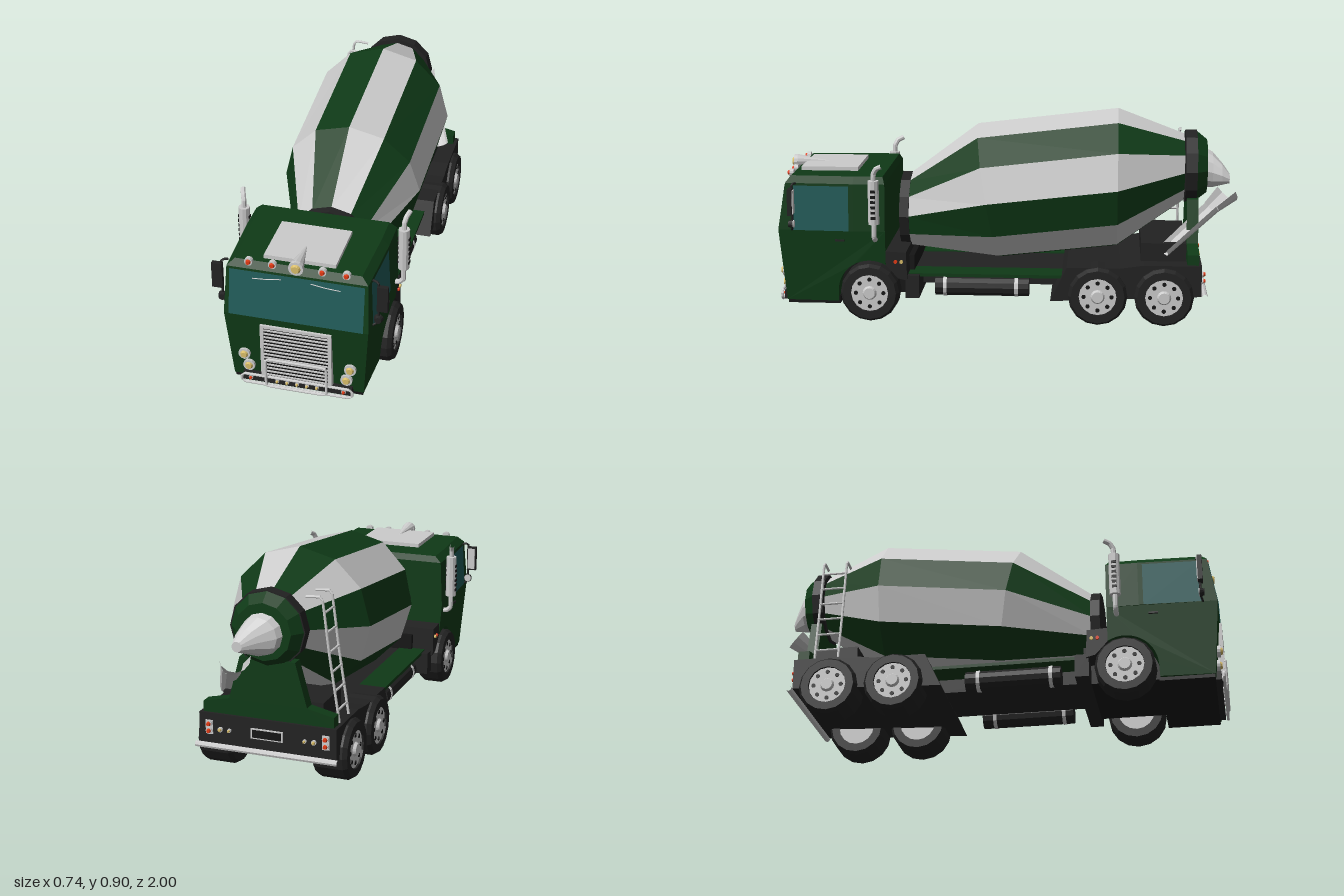
import * as THREE from 'three';

const mat = (color, side = THREE.FrontSide) => new THREE.MeshStandardMaterial({ color, side, flatShading: true });
const GREY = mat(0xcccccc), CHUTE = mat(0xcccccc, THREE.DoubleSide);
const GREEN = mat(0x0f3a17), BLACK = mat(0x222222, THREE.DoubleSide), DARK = mat(0x151515);
const GLASS = mat(0x205a58, THREE.DoubleSide), RED = mat(0xe03a14), AMBER = mat(0xd8bc68);
const V = (x, y, z) => new THREE.Vector3(x, y, z);

export function createModel() {
  const root = new THREE.Group();
  const add = (name, geo, material, x = 0, y = 0, z = 0, parent = root) => {
    const m = new THREE.Mesh(geo, material);
    m.name = name;
    m.position.set(x, y, z);
    parent.add(m);
    return m;
  };
  const box = (name, material, x0, x1, y0, y1, z0, z1) =>
    add(name, new THREE.BoxGeometry(x1 - x0, y1 - y0, z1 - z0), material, (x0 + x1) / 2, (y0 + y1) / 2, (z0 + z1) / 2);
  const cylZ = (r0, r1, len, seg = 12) => new THREE.CylinderGeometry(r1, r0, len, seg).rotateX(Math.PI / 2);
  const tube = (name, pts, r, material = GREY, closed = false) =>
    add(name, new THREE.TubeGeometry(new THREE.CatmullRomCurve3(pts, closed, 'catmullrom', 0.15), pts.length * 6, r, 8, closed), material);
  const both = (fn) => [1, -1].forEach(fn);

  // Joins rings of points (counterclockwise, advancing towards the viewer); pick selects strips
  const loft = (rings, pick = () => true, caps = true) => {
    const out = [], n = rings[0].length;
    const tri = (...p) => p.forEach((v) => out.push(v.x, v.y, v.z));
    for (let k = 0; k + 1 < rings.length; k++)
      for (let i = 0; i < n; i++) {
        if (!pick(i)) continue;
        const a = rings[k], b = rings[k + 1], j = (i + 1) % n;
        tri(a[i], a[j], b[j]);
        tri(a[i], b[j], b[i]);
      }
    const last = rings[rings.length - 1];
    for (let i = 1; caps && i + 1 < n; i++) {
      tri(rings[0][0], rings[0][i + 1], rings[0][i]);
      tri(last[0], last[i], last[i + 1]);
    }
    const g = new THREE.BufferGeometry();
    g.setAttribute('position', new THREE.Float32BufferAttribute(out, 3));
    g.computeVertexNormals();
    return g;
  };
  const ring = (x, y, z, r, tilt = 0, n = 12) => Array.from({ length: n }, (_, i) => {
    const a = (i / n) * Math.PI * 2, s = r * Math.sin(a);
    return V(x + r * Math.cos(a), y + s, z + tilt * s);
  });
  // Side outline in (z, y), extruded across the truck
  const sideExtrude = (shape, width) =>
    new THREE.ExtrudeGeometry(shape, { depth: width, bevelEnabled: false, curveSegments: 8 })
      .translate(0, 0, -width / 2).rotateY(-Math.PI / 2);
  const outline = (pts) => new THREE.Shape(pts.map(([a, b]) => new THREE.Vector2(a, b)));

  // Cab half width and front face
  const { clamp, mapLinear } = THREE.MathUtils;
  const sideX = (y, z) => (y < 0.4 ? mapLinear(y, 0.08, 0.4, 0.287, 0.312) : mapLinear(y, 0.4, 0.61, 0.312, 0.302))
    - 0.014 * clamp((z - 0.65) / 0.32, 0, 1);
  const frontZ = (y) => (y < 0.4 ? mapLinear(y, 0.08, 0.4, 0.953, 0.98) : mapLinear(y, 0.4, 0.61, 0.98, 0.945));

  // Lower cab with wheel arch
  const lower = outline([[0.513, 0.4], [0.513, 0.25]]);
  lower.absarc(0.583, 0.128, 0.14, 2.1, -0.1, true);
  [[0.725, 0.08], [0.953, 0.08], [0.98, 0.4]].forEach(([a, b]) => lower.lineTo(a, b));
  const lowerGeo = sideExtrude(lower, 0.6), p = lowerGeo.attributes.position;
  for (let i = 0; i < p.count; i++) p.setX(i, Math.sign(p.getX(i)) * sideX(p.getY(i), p.getZ(i)));
  lowerGeo.computeVertexNormals();
  add('lowerCab', lowerGeo, GREEN);

  // Upper cab with bevelled roof edge
  const cabRing = (y, inset, zb, zf) => {
    const s = (z) => sideX(Math.min(y, 0.61), z) - inset;
    return [V(s(zf), y, zf), V(s(0.65), y, 0.65), V(s(zb), y, zb), V(-s(zb), y, zb), V(-s(0.65), y, 0.65), V(-s(zf), y, zf)];
  };
  add('upperCab', loft([cabRing(0.4, 0, 0.513, 0.98), cabRing(0.605, 0, 0.513, 0.946), cabRing(0.633, 0.03, 0.525, 0.925)]), GREEN);
  box('cabUnderside', DARK, -0.27, 0.27, 0.065, 0.1, 0.72, 0.95);
  box('frontWheelWell', DARK, -0.2, 0.2, 0.1, 0.27, 0.4, 0.74);

  // Glass
  const pane = (name, pts) => add(name, loft([[pts[0], pts[1]], [pts[3], pts[2]]], (i) => i === 0, false), GLASS);
  pane('windshield', [[-1, 0.4], [1, 0.4], [1, 0.597], [-1, 0.597]].map(([s, y]) => V(s * 0.277, y, frontZ(y) + 0.003)));
  both((s) => pane('sideWindow', [[0.67, 0.4], [0.92, 0.4], [0.91, 0.595], [0.67, 0.595]]
    .map(([z, y]) => V(s * (sideX(y, z) + 0.003), y, z))));
  both((s) => {
    tube('wiper', [V(s * 0.18, 0.57, 0.958), V(s * 0.12, 0.575, 0.959), V(s * 0.06, 0.583, 0.957)], 0.002);
    box('doorHandle', BLACK, s * 0.313 - 0.004, s * 0.313 + 0.004, 0.355, 0.363, 0.69, 0.73);
  });

  // Grille
  box('grilleBack', DARK, -0.14, 0.14, 0.11, 0.355, 0.95, 0.98);
  for (let i = 0; i < 14; i++) box('grilleSlat', GREY, -0.135, 0.135, 0.117 + i * 0.017, 0.123 + i * 0.017, 0.97, 0.985);
  both((s) => box('grilleSide', GREY, s * 0.141 - 0.007, s * 0.141 + 0.007, 0.105, 0.36, 0.95, 0.988));
  box('grilleTop', GREY, -0.148, 0.148, 0.353, 0.366, 0.95, 0.988);

  // Bumper, bars and front lights
  box('bumper', BLACK, -0.23, 0.23, 0.07, 0.107, 0.93, 0.975);
  const bar = (name, w, y0, y1, z) => {
    const c = 0.013, q = [];
    [[1, y0, c, 0], [1, y1, 0, -c], [-1, y1, -c, 0], [-1, y0, 0, c]].forEach(([s, y]) => {
      const a = V(s * (w - c), y, z), b = V(s * w, y + (y === y0 ? c : -c), z);
      q.push(...((s > 0) === (y === y0) ? [a, b] : [b, a]));
    });
    tube(name, q, 0.006, GREY, true);
  };
  bar('bumperBar', 0.232, 0.068, 0.108, 0.985);
  bar('grilleGuard', 0.127, 0.068, 0.203, 0.992);
  const lamp = (name, x, y, z, r, material, dir = 1) => {
    add(name + 'Rim', cylZ(r * 1.2, r * 1.2, 0.018), GREY, x, y, z);
    add(name, cylZ(dir > 0 ? r : r * 0.6, dir > 0 ? r * 0.6 : r, 0.018), material, x, y, z + dir * 0.009);
  };
  both((s) => {
    lamp('headlight', s * 0.222, 0.2, 0.968, 0.021, AMBER);
    lamp('headlight', s * 0.205, 0.142, 0.963, 0.021, AMBER);
    lamp('bumperLamp', s * 0.196, 0.088, 0.972, 0.008, RED);
    lamp('roofLamp', s * 0.2, 0.633, 0.932, 0.014, RED);
    lamp('roofLamp', s * 0.102, 0.633, 0.932, 0.014, RED);
  });
  for (let i = -2; i <= 2; i++) lamp('bumperLamp', i * 0.042, 0.088, 0.972, 0.007, AMBER);

  // Roof plate and spotlight
  box('roofPlate', GREY, -0.148, 0.148, 0.625, 0.65, 0.65, 0.9);
  lamp('spotlight', 0, 0.645, 0.95, 0.026, AMBER);
  add('spotlightShell', cylZ(0.002, 0.03, 0.15), GREY, 0, 0.647, 0.87);

  both((s) => {
    // Exhaust stacks with slotted guards
    const x = s * 0.342;
    tube('exhaustPipe', [V(s * 0.3, 0.365, 0.555), V(s * 0.325, 0.367, 0.555), V(x, 0.385, 0.555), V(x, 0.45, 0.555)], 0.011);
    add('muffler', new THREE.CylinderGeometry(0.024, 0.024, 0.19, 10), GREY, x, 0.535, 0.555);
    tube('exhaustTip', [V(x, 0.62, 0.555), V(x, 0.66, 0.553), V(s * 0.348, 0.683, 0.54), V(s * 0.357, 0.695, 0.515)], 0.011);
    for (let i = 0; i < 6; i++) box('mufflerSlot', DARK, x - 0.0255, x + 0.0255, 0.465 + i * 0.023, 0.477 + i * 0.023, 0.545, 0.565);

    // Mirrors
    box('mirror', BLACK, s * 0.34 - 0.022, s * 0.34 + 0.022, 0.475, 0.59, 0.905, 0.925);
    box('mirrorFace', GREY, s * 0.34 - 0.017, s * 0.34 + 0.017, 0.482, 0.583, 0.901, 0.905);
    tube('mirrorArm', [V(s * 0.296, 0.605, 0.9), V(s * 0.322, 0.6, 0.912), V(s * 0.322, 0.42, 0.912), V(s * 0.296, 0.4, 0.92)], 0.005, BLACK);
    add('roundMirror', cylZ(0.02, 0.014, 0.02), BLACK, s * 0.323, 0.432, 0.918);
    add('roundMirrorFace', cylZ(0.017, 0.017, 0.004), GREY, s * 0.323, 0.432, 0.906);
  });

  // Fender behind the cab, with side lamps
  add('cabFender', sideExtrude(outline([[0.42, 0.18], [0.46, 0.19], [0.515, 0.25], [0.515, 0.31], [0.425, 0.305]]), 0.6), BLACK);
  box('stepBox', BLACK, -0.29, 0.29, 0.1, 0.2, 0.37, 0.43);
  both((s) => [[0.47, RED], [0.445, AMBER]].forEach(([z, m]) =>
    add('sideLamp', new THREE.CylinderGeometry(0.008, 0.008, 0.012, 10).rotateZ(Math.PI / 2), m, s * 0.302, 0.265, z)));

  // Frame rails, tanks
  box('frame', BLACK, -0.14, 0.14, 0.13, 0.2, -0.3, 0.45);
  both((s) => {
    box('frameRail', GREEN, s * 0.2 - 0.06, s * 0.2 + 0.06, 0.19, 0.204, -0.25, 0.42);
    add('tank', cylZ(0.044, 0.044, 0.41), BLACK, s * 0.215, 0.14, 0.1);
    [0.262, -0.05].forEach((z) => add('tankBand', cylZ(0.047, 0.047, 0.016), GREY, s * 0.215, 0.14, z));
  });

  // Rear chassis and deck
  add('rearChassis', sideExtrude(outline([[-0.2, 0.1], [-0.85, 0.13], [-0.85, 0.265], [-0.6, 0.265], [-0.5, 0.25], [-0.27, 0.25]]), 0.6), BLACK);
  box('deckBox', BLACK, -0.22, 0.22, 0.26, 0.345, -0.785, -0.59);
  const support = outline([[-0.285, 0.265], [0.285, 0.265], [0.285, 0.31], [0.17, 0.335], [0.12, 0.52], [-0.12, 0.52], [-0.17, 0.335], [-0.285, 0.31]]);
  add('drumSupport', new THREE.ExtrudeGeometry(support, { depth: 0.05, bevelEnabled: false }), GREEN, 0, 0, -0.838);

  // Rear bumper, plate and lights
  tube('rearBumper', [V(-0.31, 0.13, -0.865), V(0, 0.13, -0.865), V(0.31, 0.13, -0.865)], 0.013);
  box('plateFrame', GREY, -0.07, 0.07, 0.18, 0.225, -0.854, -0.84);
  box('plate', DARK, -0.063, 0.063, 0.186, 0.219, -0.857, -0.84);
  both((s) => {
    box('tailLightFrame', GREY, s * 0.255 - 0.016, s * 0.255 + 0.016, 0.175, 0.235, -0.853, -0.84);
    lamp('tailLight', s * 0.255, 0.22, -0.85, 0.012, RED, -1);
    lamp('tailLight', s * 0.255, 0.19, -0.85, 0.012, RED, -1);
    lamp('rearIndicator', s * 0.205, 0.2, -0.85, 0.009, AMBER, -1);
    lamp('rearIndicator', s * 0.165, 0.2, -0.85, 0.007, AMBER, -1);
  });

  // Striped drum
  const drum = [ring(0, 0.64, -0.775, 0.15), ring(0, 0.59, -0.485, 0.31), ring(0, 0.523, 0.08, 0.303, 0.17), ring(0, 0.433, 0.435, 0.165)];
  add('drumGreyStripes', loft(drum, (i) => i % 2 === 0), GREY);
  add('drumGreenStripes', loft(drum, (i) => i % 2 === 1, false), GREEN);
  add('frontDrumRing', loft([ring(0, 0.433, 0.428, 0.172), ring(0, 0.433, 0.47, 0.172)]), BLACK);
  add('rearDrumRing', loft([ring(0, 0.645, -0.83, 0.162), ring(0, 0.645, -0.78, 0.162)]), BLACK);
  add('rearDrumCap', loft([ring(0, 0.645, -0.875, 0.12), ring(0, 0.645, -0.828, 0.158)]), GREEN);

  // Discharge hopper and chute
  add('hopper', loft([ring(0.07, 0.605, -0.972, 0.022), ring(0.045, 0.62, -0.94, 0.05), ring(0.01, 0.632, -0.9, 0.08), ring(0, 0.64, -0.865, 0.09)]), GREY);
  const chute = (name, a, b, r0, r1) => {
    const len = a.distanceTo(b), mid = a.clone().add(b).multiplyScalar(0.5);
    const g = new THREE.CylinderGeometry(r1, r0, len, 6, 1, true, -Math.PI / 2, Math.PI).rotateX(Math.PI / 2);
    add(name, g, CHUTE, mid.x, mid.y, mid.z).lookAt(b);
  };
  chute('chuteMouth', V(0.085, 0.56, -0.96), V(0.13, 0.5, -0.89), 0.065, 0.045);
  chute('chute', V(0.13, 0.5, -0.89), V(0.245, 0.325, -0.68), 0.045, 0.036);

  // Ladder with hooked top
  [-0.66, -0.765].forEach((z) => tube('ladderRail',
    [V(-0.28, 0.265, z), V(-0.24, 0.53, z), V(-0.21, 0.765, z), V(-0.195, 0.78, z), V(-0.14, 0.775, z)], 0.006));
  for (let i = 0; i < 6; i++) {
    const t = 0.1 + i * 0.16;
    add('ladderRung', cylZ(0.005, 0.005, 0.105, 8), GREY, -0.28 + 0.07 * t, 0.265 + 0.5 * t, -0.7125);
  }

  // Wheels
  const wheel = (name, s, z, w) => {
    const g = new THREE.Group();
    g.name = name;
    const h = w / 2;
    const tyre = [[0.08, -h], [0.116, -h], [0.128, -h + 0.018], [0.128, h - 0.018], [0.116, h], [0.082, h], [0.08, h - 0.02]];
    add('tyre', new THREE.LatheGeometry(tyre.map(([a, b]) => new THREE.Vector2(a, b)), 16).rotateZ(-Math.PI / 2), BLACK, 0, 0, 0, g);
    const disc = (r0, r1, d) => new THREE.CylinderGeometry(r1, r0, d, 16).rotateZ(-Math.PI / 2);
    add('hub', disc(0.082, 0.082, w - 0.016), GREY, 0, 0, 0, g);
    add('hubCap', disc(0.032, 0.024, 0.014), GREY, h - 0.003, 0, 0, g);
    for (let i = 0; i < 8; i++) {
      const a = (i / 8) * Math.PI * 2;
      add('hubHole', disc(0.009, 0.009, 0.004), DARK, h - 0.007, 0.06 * Math.sin(a), 0.06 * Math.cos(a), g);
    }
    g.position.set(s * (0.328 - h), 0.128, z);
    if (s < 0) g.rotation.y = Math.PI;
    root.add(g);
  };
  both((s) => {
    wheel('frontWheel', s, 0.583, 0.115);
    wheel('middleWheel', s, -0.405, 0.15);
    wheel('rearWheel', s, -0.69, 0.15);
  });
  return root;
}
